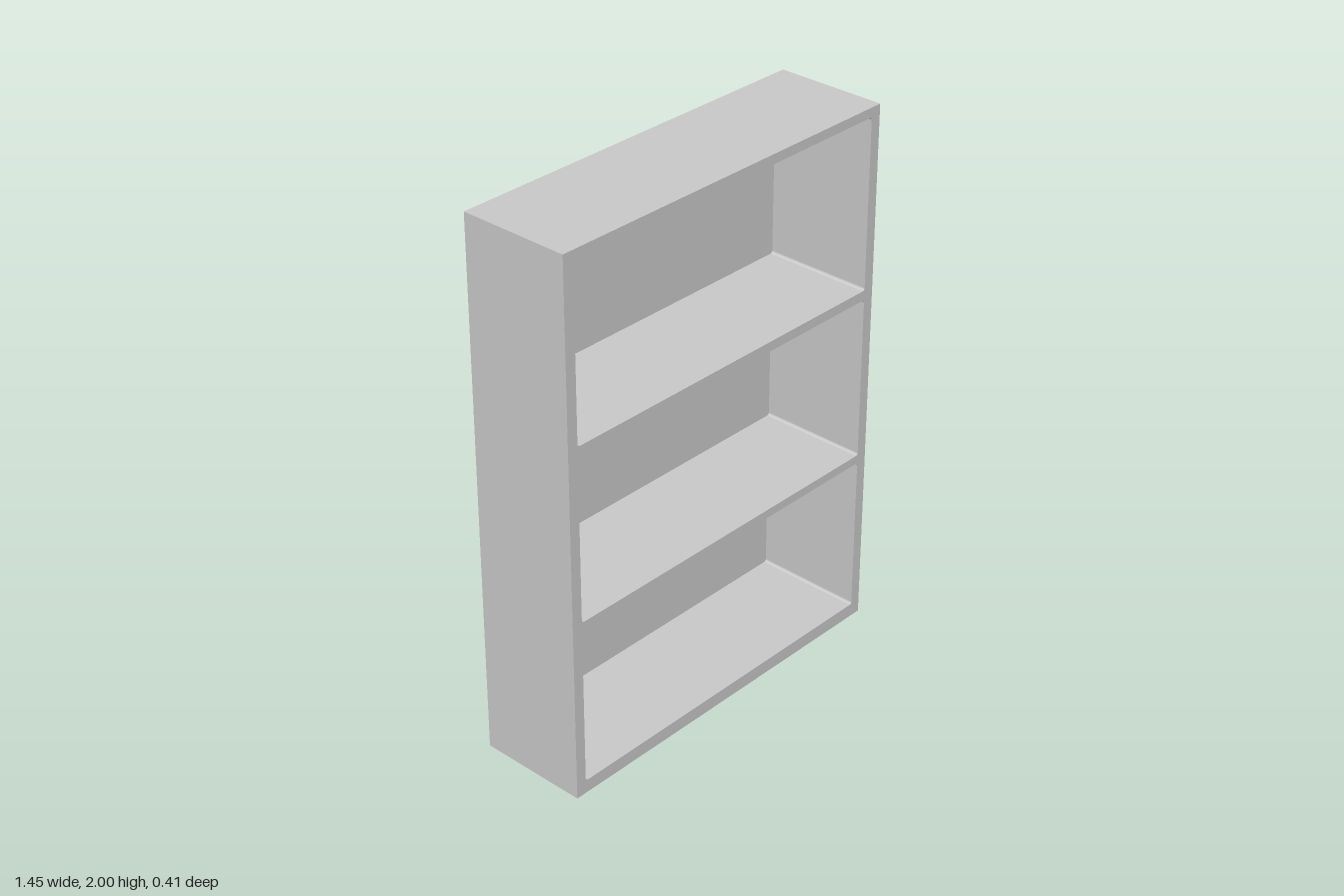
import * as THREE from 'three';

const W = 1.454, H = 2, D = 0.414;   // outer size of the case
const BACK = 0.004;                  // thin back panel
const HALF = 0.686, R = 0.01;        // half width and corner radius of the openings
const BAYS = [[0.05, 0.651], [0.683, 1.297], [1.333, 1.965]]; // bottom and top of each bay

// Opening with slightly rounded corners
function bayHole(y0, y1) {
  const p = new THREE.Path();
  p.moveTo(-HALF + R, y0);
  p.absarc(HALF - R, y0 + R, R, -Math.PI / 2, 0);
  p.absarc(HALF - R, y1 - R, R, 0, Math.PI / 2);
  p.absarc(-HALF + R, y1 - R, R, Math.PI / 2, Math.PI);
  p.absarc(-HALF + R, y0 + R, R, Math.PI, Math.PI * 1.5);
  return p;
}

export function createModel() {
  const group = new THREE.Group();
  group.name = 'bookcase';
  const material = new THREE.MeshStandardMaterial({ color: 0xcccccc });

  // Sides, top, base and shelves as one continuous frame
  const outline = new THREE.Shape([
    new THREE.Vector2(-W / 2, 0), new THREE.Vector2(W / 2, 0),
    new THREE.Vector2(W / 2, H), new THREE.Vector2(-W / 2, H),
  ]);
  for (const [y0, y1] of BAYS) outline.holes.push(bayHole(y0, y1));
  const frame = new THREE.Mesh(
    new THREE.ExtrudeGeometry(outline, { depth: D - BACK, bevelEnabled: false, curveSegments: 4 }),
    material
  );
  frame.name = 'shelfFrame';
  frame.position.z = -D / 2 + BACK;
  group.add(frame);

  // Back panel closing all bays
  const back = new THREE.Mesh(new THREE.BoxGeometry(W, H, BACK), material);
  back.name = 'backPanel';
  back.position.set(0, H / 2, -D / 2 + BACK / 2);
  group.add(back);

  return group;
}
